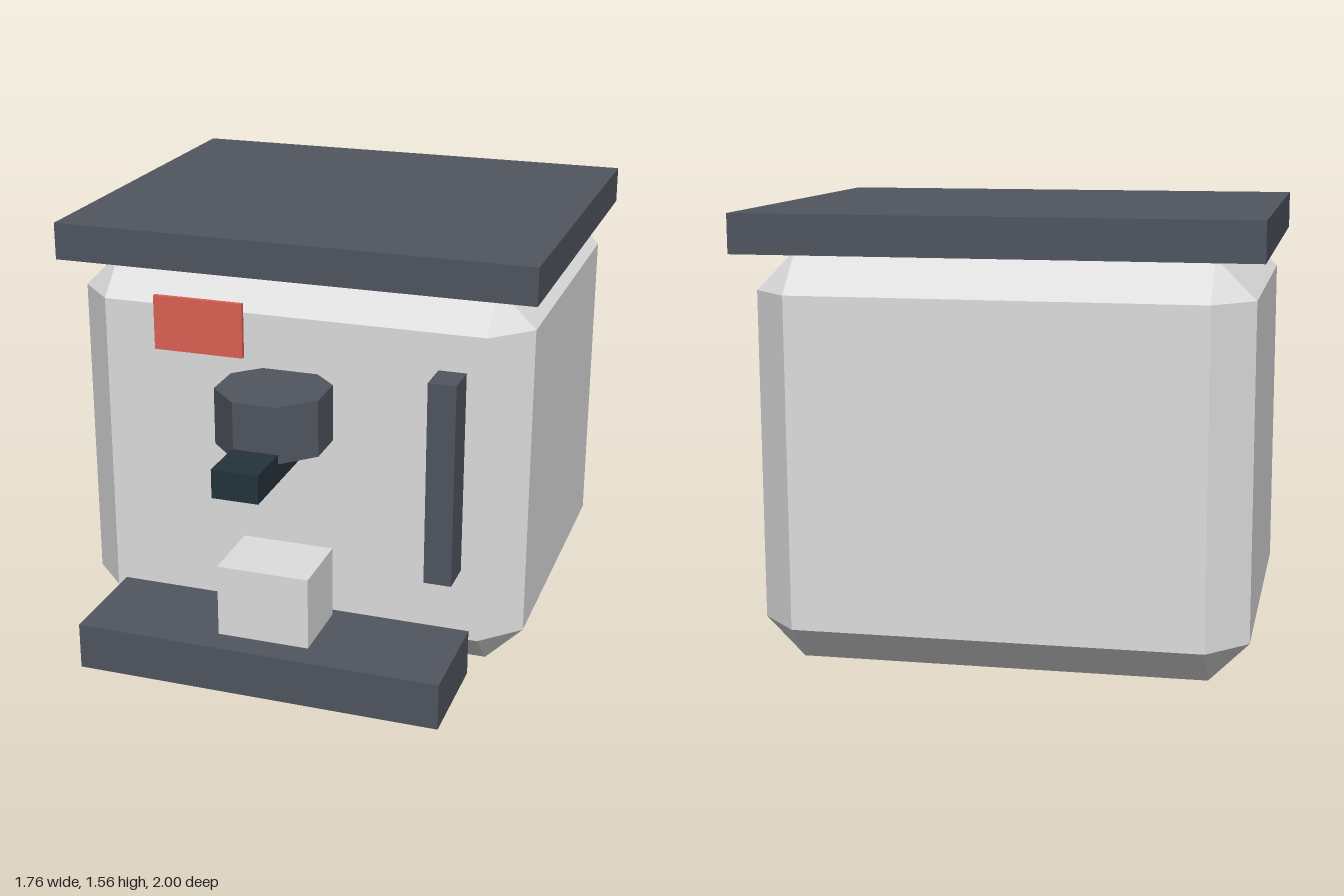
import * as THREE from 'three';
import { ConvexGeometry } from 'three/addons/geometries/ConvexGeometry.js';

function material(name, color) {
  const m = new THREE.MeshStandardMaterial({ color });
  m.name = name;
  return m;
}

// Box with all edges and corners cut off by c
function chamferedBox(w, h, d, c) {
  const points = [];
  for (const sx of [-1, 1]) for (const sy of [-1, 1]) for (const sz of [-1, 1]) {
    const x = sx * w / 2, y = sy * h / 2, z = sz * d / 2;
    points.push(
      new THREE.Vector3(x, y - sy * c, z - sz * c),
      new THREE.Vector3(x - sx * c, y, z - sz * c),
      new THREE.Vector3(x - sx * c, y - sy * c, z)
    );
  }
  return new ConvexGeometry(points);
}

export function createModel() {
  const group = new THREE.Group();
  group.name = 'coffeeMachine';

  const lightGrey = material('light grey', 0xdedede);
  const darkGrey = material('dark grey', 0x50555f);
  const blackBlue = material('dark blue black', 0x25333b);
  const red = material('red', 0xdd6254);

  function add(name, geometry, mat, x, y, z) {
    const mesh = new THREE.Mesh(geometry, mat);
    mesh.name = name;
    mesh.position.set(x, y, z);
    group.add(mesh);
  }

  // Box given by its minimum and maximum on each axis
  function box(name, mat, [x0, x1], [y0, y1], [z0, z1]) {
    add(name, new THREE.BoxGeometry(x1 - x0, y1 - y0, z1 - z0), mat,
      (x0 + x1) / 2, (y0 + y1) / 2, (z0 + z1) / 2);
  }

  // Housing and lid
  add('body', chamferedBox(1.69, 1.425, 1.425, 0.137), lightGrey, 0, 0.7125, -0.2525);
  box('lid', darkGrey, [-0.88, 0.88], [1.425, 1.56], [-1, 0.49]);

  // Drip tray with cup
  box('tray', darkGrey, [-0.675, 0.675], [0, 0.172], [0.46, 0.865]);
  box('cup', lightGrey, [-0.17, 0.17], [0.172, 0.44], [0.495, 0.765]);

  // Octagonal brew head with its handle
  const head = new THREE.CylinderGeometry(0.205, 0.205, 0.205, 8, 1, false, Math.PI / 8).toNonIndexed();
  head.computeVertexNormals();
  add('brewHead', head, darkGrey, 0, 0.987, 0.625);
  box('brewHandle', blackBlue, [-0.083, 0.083], [0.817, 0.92], [0.46, 1]);

  // Steam pipe and front panel
  box('steamPipe', darkGrey, [0.54, 0.64], [0.41, 1.155], [0.46, 0.595]);
  box('panel', red, [-0.51, -0.173], [1.122, 1.323], [0.46, 0.477]);

  return group;
}
